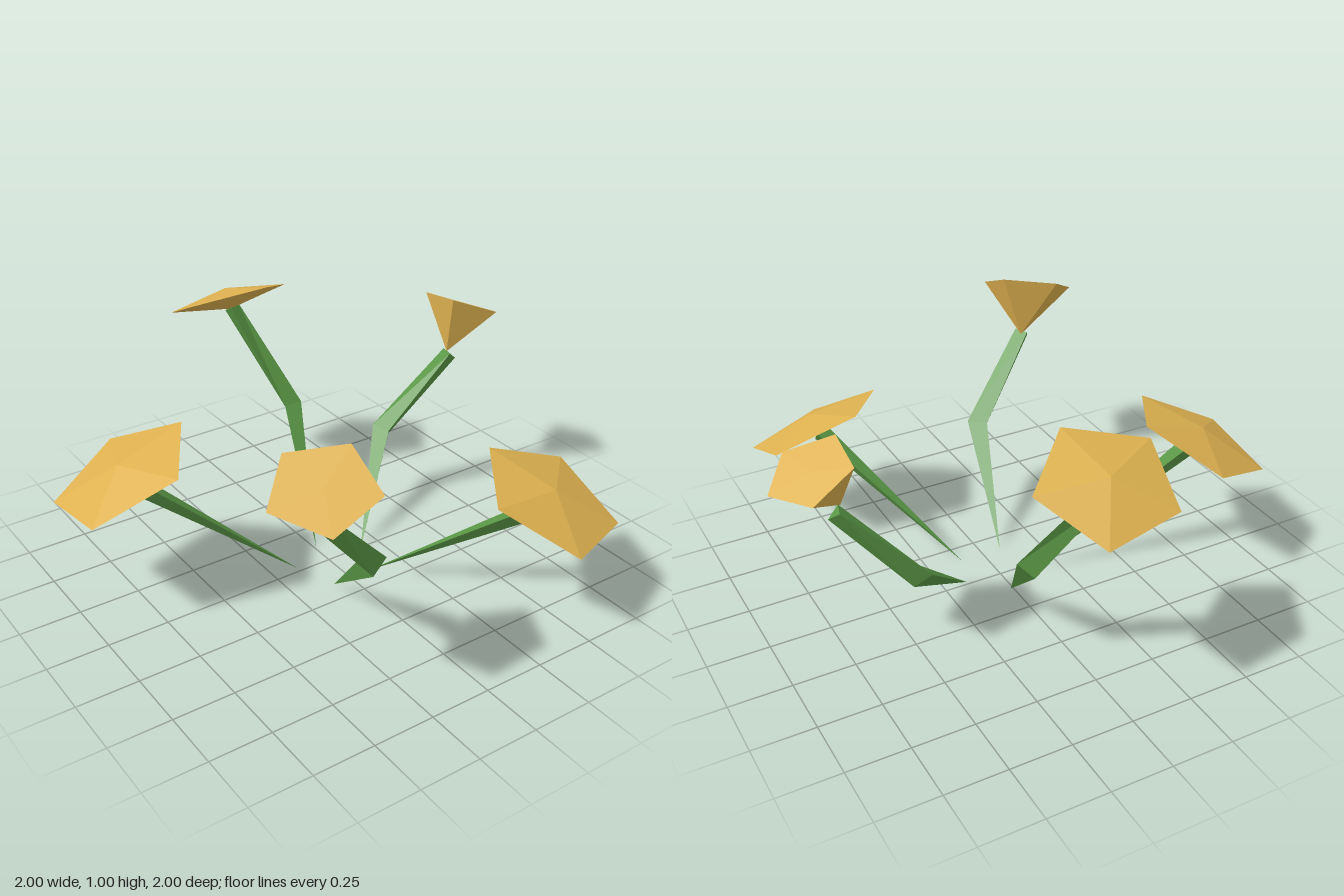
import * as THREE from 'three';

const gold = new THREE.MeshStandardMaterial({ color: 0xdeb150, flatShading: true });
gold.name = 'golden petal';
const green = new THREE.MeshStandardMaterial({ color: 0x5a9645, flatShading: true });
green.name = 'stem green';

const V = (p) => new THREE.Vector3(...p);

// Flat-shaded mesh from a list of corner triples
function facetMesh(name, triangles, material) {
  const geometry = new THREE.BufferGeometry().setFromPoints(triangles.flat());
  geometry.computeVertexNormals();
  const mesh = new THREE.Mesh(geometry, material);
  mesh.name = name;
  return mesh;
}

// Five-sided bloom: rim runs counterclockwise seen from above
function bloom(rimPoints, dome, tip) {
  const rim = rimPoints.map(V);
  const centre = new THREE.Vector3();
  rim.forEach((p) => centre.addScaledVector(p, 1 / rim.length));
  const normal = new THREE.Vector3();
  rim.forEach((p, i) => {
    const q = rim[(i + 1) % rim.length];
    normal.add(p.clone().sub(centre).cross(q.clone().sub(centre)));
  });
  normal.normalize();
  const top = centre.clone().addScaledVector(normal, dome);
  const bottom = tip ? V(tip) : centre.clone().addScaledVector(normal, -dome);
  const triangles = [];
  rim.forEach((p, i) => {
    const q = rim[(i + 1) % rim.length];
    triangles.push([top, p, q], [bottom, q, p]);
  });
  return facetMesh('bloom', triangles, gold);
}

// Three-sided stem growing from a sharp point through one or more rings
function stem(path, radii) {
  const points = path.map(V);
  const rings = points.map((p, i) => {
    const before = points[Math.max(i - 1, 0)];
    const after = points[Math.min(i + 1, points.length - 1)];
    const tangent = new THREE.Vector3();
    if (i > 0) tangent.add(p.clone().sub(before).normalize());
    if (i < points.length - 1) tangent.add(after.clone().sub(p).normalize());
    tangent.normalize();
    const side = tangent.clone().cross(new THREE.Vector3(0, 1, 0)).normalize();
    const up = side.clone().cross(tangent);
    return [0, 1, 2].map((k) => {
      const a = Math.PI + (k * Math.PI * 2) / 3;
      return p.clone()
        .addScaledVector(up, Math.cos(a) * radii[i])
        .addScaledVector(side, Math.sin(a) * radii[i]);
    });
  });
  const triangles = [];
  for (let i = 0; i < rings.length - 1; i++) {
    for (let k = 0; k < 3; k++) {
      const n = (k + 1) % 3;
      const [a, b, c, d] = [rings[i][k], rings[i][n], rings[i + 1][n], rings[i + 1][k]];
      if (radii[i] > 0) triangles.push([a, b, c]);
      triangles.push([a, c, d]);
    }
  }
  triangles.push(rings[rings.length - 1]);
  return facetMesh('stem', triangles, green);
}

const flowers = [
  { // wide bloom on a straight stem
    name: 'rightFlower', dome: 0.045,
    rim: [[-0.69, 0.55, -0.52], [-1, 0.43, -0.39], [-1, 0.49, -0.04], [-0.69, 0.64, 0.05], [-0.51, 0.69, -0.25]],
    path: [[-0.14, 0, -0.02], [-0.76, 0.53, -0.22]], radii: [0, 0.045],
  },
  { // wide bloom on a straight stem
    name: 'frontLeftFlower', dome: 0.045,
    rim: [[0.21, 0.56, 0.76], [0.41, 0.4, 0.995], [0.74, 0.365, 0.86], [0.74, 0.5, 0.53], [0.41, 0.62, 0.475]],
    path: [[0.1, 0, 0.155], [0.49, 0.45, 0.705]], radii: [0, 0.045],
  },
  { // wide bloom on a bent stem
    name: 'backFlower', dome: 0.045,
    rim: [[0.07, 1, -0.56], [0.29, 0.9, -0.76], [0.14, 0.78, -1], [-0.17, 0.81, -0.95], [-0.22, 0.94, -0.68]],
    path: [[0.01, 0, -0.11], [0.17, 0.44, -0.54], [0.03, 0.85, -0.775]], radii: [0, 0.048, 0.037],
  },
  { // small cup on a bent stem
    name: 'leftFlower', dome: 0, tip: [0.74, 0.68, -0.19],
    rim: [[0.89, 0.87, -0.06], [1, 0.8, -0.2], [0.9, 0.82, -0.37], [0.73, 0.905, -0.33], [0.72, 0.935, -0.14]],
    path: [[0.15, 0, 0.015], [0.48, 0.34, -0.28], [0.765, 0.66, -0.2]], radii: [0, 0.05, 0.037],
  },
  { // small cup on a bent stem
    name: 'frontRightFlower', dome: 0, tip: [-0.46, 0.71, 0.67],
    rim: [[-0.73, 0.86, 0.715], [-0.61, 0.82, 0.91], [-0.395, 0.89, 0.885], [-0.38, 0.98, 0.68], [-0.58, 0.96, 0.575]],
    path: [[-0.08, 0, 0.155], [-0.195, 0.38, 0.57], [-0.48, 0.71, 0.685]], radii: [0, 0.05, 0.037],
  },
];

export function createModel() {
  const model = new THREE.Group();
  model.name = 'flowerCluster';
  for (const f of flowers) {
    const flower = new THREE.Group();
    flower.name = f.name;
    flower.add(bloom(f.rim, f.dome, f.tip), stem(f.path, f.radii));
    model.add(flower);
  }
  return model;
}
